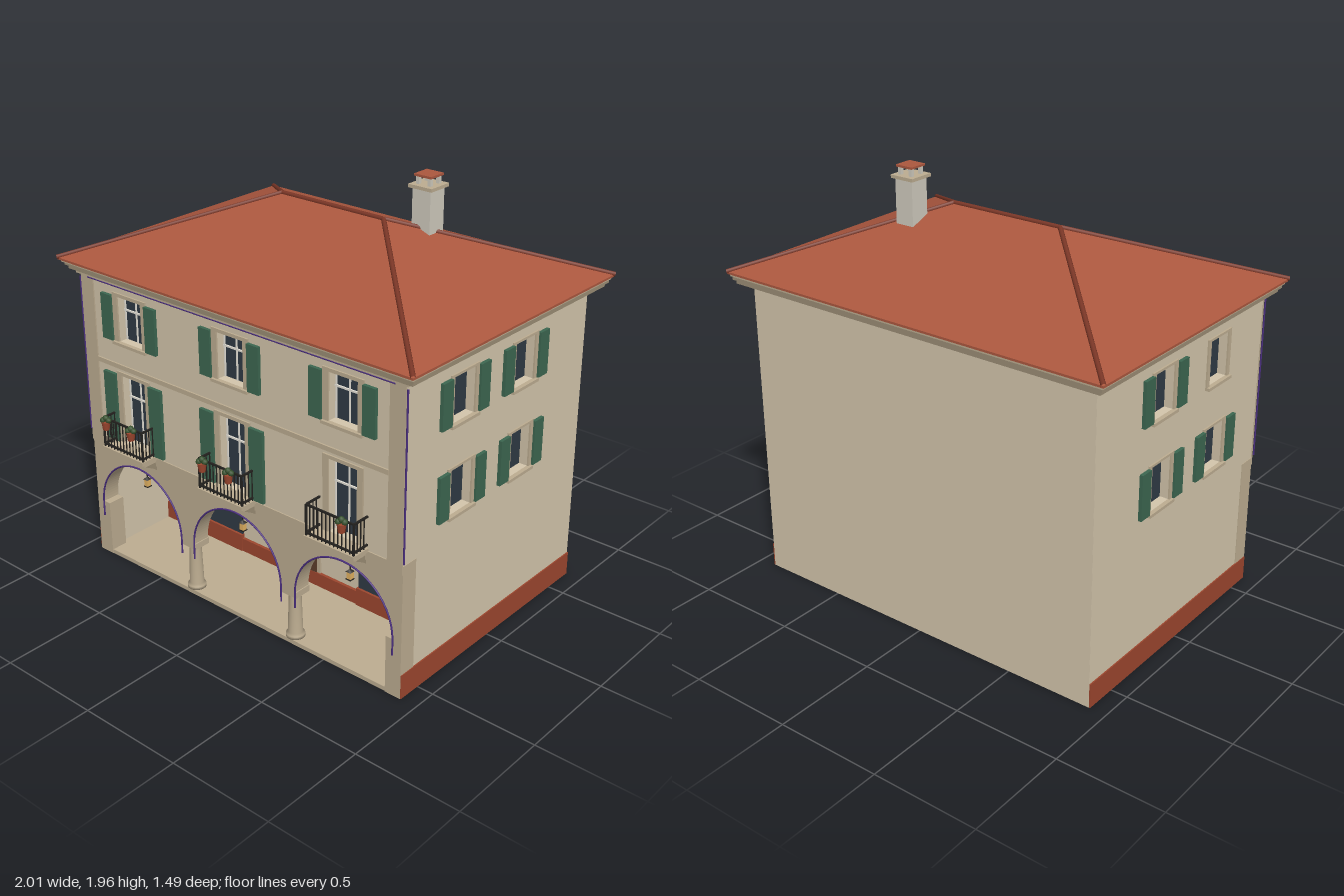
import * as THREE from 'three';
import { ConvexGeometry } from 'three/addons/geometries/ConvexGeometry.js';

const mat = (color, side = THREE.FrontSide) => new THREE.MeshStandardMaterial({ color, side });
const M = {
  plaster: mat(0xd3c5ab), stone: mat(0xbcac90), cornice: mat(0x9a8c74), roof: mat(0xab573e),
  ridge: mat(0x7a3626), glass: mat(0x2f3a44), shutter: mat(0x3c6650), door: mat(0x5a3d2a),
  base: mat(0x9c462e), iron: mat(0x24221f), cable: mat(0x4b2f80), trim: mat(0xe4e0d6),
  chimney: mat(0xcfcabd), lamp: mat(0xe0b060), plant: mat(0x35502c),
};
const V = (x, y, z) => new THREE.Vector3(x, y, z);

function add(parent, name, geometry, material, x = 0, y = 0, z = 0) {
  const mesh = new THREE.Mesh(geometry, material);
  mesh.name = name;
  mesh.position.set(x, y, z);
  parent.add(mesh);
  return mesh;
}
// Box given by its limits on each axis
function box(parent, name, material, [x0, x1], [y0, y1], [z0, z1]) {
  return add(parent, name, new THREE.BoxGeometry(x1 - x0, y1 - y0, z1 - z0), material,
    (x0 + x1) / 2, (y0 + y1) / 2, (z0 + z1) / 2);
}
function group(parent, name, x = 0, y = 0, z = 0) {
  const g = new THREE.Group();
  g.name = name;
  g.position.set(x, y, z);
  parent.add(g);
  return g;
}
function rectPath(Type, x0, x1, y0, y1) {
  return new Type([[x0, y0], [x1, y0], [x1, y1], [x0, y1]].map(p => new THREE.Vector2(...p)));
}
const extrude = (shape, depth) =>
  new THREE.ExtrudeGeometry(shape, { depth, bevelEnabled: false, curveSegments: 28 });
function tube(parent, name, points, r, material, segments = 1) {
  const path = new THREE.CurvePath();
  for (let i = 1; i < points.length; i++) path.add(new THREE.LineCurve3(points[i - 1], points[i]));
  return add(parent, name, new THREE.TubeGeometry(path, segments, r, 8), material);
}

// Wall facing +z with its outer face on z = 0, pierced by window openings
function piercedWall(parent, name, limits, openings, depth, material) {
  const shape = rectPath(THREE.Shape, ...limits);
  for (const o of openings) shape.holes.push(rectPath(THREE.Path, o.x - o.w / 2, o.x + o.w / 2, o.y0, o.y1));
  add(parent, name, extrude(shape, depth), material, 0, 0, -depth);
}

function addWindow(parent, { x, w, y0, y1, frame, shutter, bars, sill }) {
  const g = group(parent, 'window', x), h = w / 2;
  box(g, 'glass', M.glass, [-h, h], [y0, y1], [-0.049, -0.04]);
  const ring = rectPath(THREE.Shape, -h - frame, h + frame, y0 - (sill ? 0.006 : 0), y1 + frame * 0.5);
  ring.holes.push(rectPath(THREE.Path, -h, h, y0, y1 - 0.001));
  add(g, 'surround', extrude(ring, 0.008), M.stone);
  if (sill) box(g, 'sill', M.stone, [-h - frame, h + frame], [y0 - 0.014, y0], [0, 0.02]);
  if (bars) {
    const mid = y0 + (y1 - y0) * 0.66;
    for (const bx of [-h + 0.005, 0, h - 0.005])
      box(g, 'mullion', M.trim, [bx - 0.003, bx + 0.003], [y0, y1], [-0.04, -0.034]);
    box(g, 'transom', M.trim, [-h, h], [mid - 0.004, mid + 0.004], [-0.04, -0.033]);
  }
  if (shutter) for (const s of [-1, 1]) {
    const c = s * (h + 0.02 + shutter / 2 + (frame > 0.025 ? 0.01 : 0));
    box(g, 'shutter', M.shutter, [c - shutter / 2, c + shutter / 2], [y0, y1], [0.002, 0.018]);
  }
}

function addSide(model, s) {
  const side = group(model, 'sideWall', s * 0.915);
  side.rotation.y = s * Math.PI / 2;
  const u = z => -s * z;
  const openings = [];
  for (const z of [0.245, -0.18]) for (const [y0, y1] of [[0.735, 0.945], [1.15, 1.355]])
    openings.push({ x: u(z), w: 0.145, y0, y1, frame: 0.02, sill: true,
      shutter: s < 0 && z > 0 && y0 > 1 ? 0 : 0.066 });
  const ends = [u(-0.655), u(0.53)].sort((a, b) => a - b);
  piercedWall(side, 'wall', [...ends, 0, 1.45], openings, 0.05, M.plaster);
  openings.forEach(o => addWindow(side, o));
  const band = [u(-0.655), u(0.614)].sort((a, b) => a - b);
  box(side, 'redPlinth', M.base, band, [0, 0.115], [0, 0.006]);
}

function addArcade(model) {
  const R = 0.265, spring = 0.275, xs = [-0.61, 0, 0.61];
  // Ground floor front with three round arches
  const s = new THREE.Shape();
  s.moveTo(-0.918, 0);
  s.lineTo(-0.838, 0);
  s.lineTo(-0.838, spring);
  for (const x of xs) {
    s.lineTo(x - R, spring);
    s.absarc(x, spring, R, Math.PI, 0, true);
  }
  [[0.838, spring], [0.838, 0], [0.918, 0], [0.918, 0.635], [-0.918, 0.635]].forEach(p => s.lineTo(...p));
  add(model, 'arcade', extrude(s, 0.085), M.stone, 0, 0, 0.53);
  // Light cable around each arch
  for (const x of xs) {
    const pts = [V(x - R, 0.2, 0.618)];
    for (let i = 0; i <= 24; i++) {
      const a = Math.PI * (1 - i / 24);
      pts.push(V(x + R * Math.cos(a), spring + R * Math.sin(a), 0.618));
    }
    pts.push(V(x + R, 0.2, 0.618));
    tube(model, 'archCable', pts, 0.004, M.cable, 60);
  }
  // Columns
  const profile = [[0, 0.02], [0.043, 0.02], [0.043, 0.035], [0.034, 0.045], [0.028, 0.235], [0.037, 0.245], [0, 0.245]];
  for (const x of [-0.305, 0.305]) {
    add(model, 'column', new THREE.LatheGeometry(profile.map(p => new THREE.Vector2(...p)), 20), M.stone, x, 0, 0.572);
    box(model, 'capital', M.stone, [x - 0.045, x + 0.045], [0.245, spring], [0.53, 0.615]);
  }
  // Portico interior
  box(model, 'porticoFloor', M.stone, [-0.9, 0.9], [0, 0.02], [0.18, 0.612]);
  box(model, 'upperFloor', M.plaster, [-0.87, 0.87], [0.575, 0.6], [-0.62, 0.535]);
  box(model, 'porticoWall', M.plaster, [-0.87, 0.87], [0, 0.58], [0.17, 0.2]);
  box(model, 'porticoPlinth', M.base, [-0.868, 0.868], [0.02, 0.088], [0.2, 0.215]);
  for (const x of [-0.61, 0.61]) {
    box(model, 'shopWindow', M.glass, [x - 0.25, x + 0.25], [0.105, 0.48], [0.162, 0.208]);
    box(model, 'shopSill', M.base, [x - 0.255, x + 0.255], [0.02, 0.108], [0.2, 0.22]);
    box(model, 'shopMullion', M.iron, [x - 0.003, x + 0.003], [0.108, 0.48], [0.208, 0.213]);
    box(model, 'shopTransom', M.iron, [x - 0.25, x + 0.25], [0.39, 0.395], [0.208, 0.213]);
  }
  box(model, 'doorSurround', M.stone, [-0.132, 0.132], [0.088, 0.447], [0.2, 0.208]);
  box(model, 'door', M.door, [-0.113, 0.113], [0.088, 0.43], [0.162, 0.213]);
  box(model, 'doorCanopy', M.iron, [-0.085, 0.085], [0.472, 0.48], [0.2, 0.23]);
  // Hanging lanterns
  for (const x of xs) {
    const g = group(model, 'lantern', x, 0, 0.57);
    add(g, 'rod', new THREE.CylinderGeometry(0.003, 0.003, 0.07, 6), M.iron, 0, 0.51, 0);
    box(g, 'lamp', M.lamp, [-0.011, 0.011], [0.435, 0.468], [-0.011, 0.011]);
    add(g, 'lanternCap', new THREE.ConeGeometry(0.02, 0.014, 4, 1, false, Math.PI / 4), M.iron, 0, 0.475, 0);
    box(g, 'lanternFoot', M.iron, [-0.013, 0.013], [0.43, 0.435], [-0.013, 0.013]);
  }
}

function addBalcony(model, x, pots) {
  const g = group(model, 'balcony', x, 0, 0.615), W = 0.125, D = 0.085;
  box(g, 'slab', M.stone, [-0.132, 0.132], [0.634, 0.652], [0, 0.095]);
  box(g, 'slabMoulding', M.stone, [-0.122, 0.122], [0.618, 0.634], [0, 0.075]);
  const bracket = new THREE.Shape([[0, 0.575], [0.02, 0.59], [0.07, 0.618], [0, 0.618]].map(p => new THREE.Vector2(...p)));
  for (const s of [-1, 1]) {
    const b = add(g, 'bracket', extrude(bracket, 0.02), M.cornice, s * 0.11 - 0.01, 0, 0);
    b.rotation.y = -Math.PI / 2;
    b.position.x += 0.02;
    for (const y of [0.665, 0.795])
      box(g, 'sideRail', M.iron, [s * W - 0.004, s * W + 0.004], [y - 0.004, y + 0.004], [0, D]);
    for (let i = 1; i < 4; i++)
      box(g, 'sideBar', M.iron, [s * W - 0.002, s * W + 0.002], [0.652, 0.795], [i * D / 4 - 0.002, i * D / 4 + 0.002]);
  }
  for (const y of [0.665, 0.795]) box(g, 'frontRail', M.iron, [-W, W], [y - 0.004, y + 0.004], [D - 0.004, D + 0.004]);
  for (let i = 0; i <= 12; i++) {
    const bx = -W + i * W / 6, r = i % 12 ? 0.002 : 0.004;
    box(g, 'bar', M.iron, [bx - r, bx + r], [0.652, 0.795], [D - r, D + r]);
  }
  // Flower pots hung on the rail
  for (const px of pots) {
    add(g, 'pot', new THREE.CylinderGeometry(0.021, 0.015, 0.04, 12), M.base, px, 0.775, D + 0.022);
    for (const [dx, dy, dz] of [[0, 0.012, 0], [-0.012, 0, 0.006], [0.013, 0.002, -0.004]])
      add(g, 'plant', new THREE.IcosahedronGeometry(0.014, 1), M.plant, px + dx, 0.8 + dy, D + 0.022 + dz);
  }
}

function addRoof(model) {
  const X = 0.995, zf = 0.685, zb = -0.735, zr = -0.025, rx = 0.285, top = 1.772, eave = 1.498;
  const corners = [V(-X, eave, zf), V(X, eave, zf), V(X, eave, zb), V(-X, eave, zb)];
  const ends = [V(-rx, top, zr), V(rx, top, zr)];
  add(model, 'roof', new ConvexGeometry([...corners, ...corners.map(c => V(c.x, eave - 0.01, c.z)), ...ends]), M.roof);
  // Ridge and hip tiles
  tube(model, 'ridgeTiles', ends, 0.011, M.ridge);
  corners.forEach(c => tube(model, 'hipTiles', [c, ends[c.x < 0 ? 0 : 1]], 0.011, M.ridge));
  // Stepped cornice: half width, front z, back z, bottom, top
  for (const [w, f, b, y0, y1, m] of [
    [0.935, 0.632, -0.67, 1.425, 1.442, M.stone], [0.965, 0.648, -0.71, 1.442, 1.46, M.cornice],
    [0.978, 0.66, -0.72, 1.46, 1.476, M.cornice], [0.985, 0.672, -0.725, 1.476, 1.49, M.stone]])
    box(model, 'cornice', m, [-w, w], [y0, y1], [b, f]);
  // Chimney with open cap
  const c = group(model, 'chimney', 0.402, 0, -0.175);
  box(c, 'stack', M.chimney, [-0.047, 0.047], [1.6, 1.9], [-0.048, 0.048]);
  box(c, 'collar', M.stone, [-0.061, 0.061], [1.9, 1.915], [-0.061, 0.061]);
  for (const sx of [-1, 1]) for (const sz of [-1, 1])
    add(c, 'capPost', new THREE.BoxGeometry(0.016, 0.035, 0.016), M.chimney, sx * 0.03, 1.932, sz * 0.03);
  box(c, 'cap', M.roof, [-0.044, 0.044], [1.949, 1.959], [-0.044, 0.044]);
}

export function createModel() {
  const model = new THREE.Group();
  model.name = 'house';
  addArcade(model);
  [-1, 1].forEach(s => addSide(model, s));
  box(model, 'backWall', M.plaster, [-0.914, 0.914], [0, 1.45], [-0.656, -0.606]);

  // Upper front with tall balcony windows and smaller ones above
  const front = group(model, 'upperFront', 0, 0, 0.615);
  const openings = [];
  for (const x of [-0.61, 0, 0.61]) {
    openings.push({ x, w: 0.15, y0: 0.652, y1: 0.99, frame: 0.03, bars: true, shutter: x > 0 ? 0 : 0.078 });
    openings.push({ x, w: 0.15, y0: 1.155, y1: 1.37, frame: 0.03, bars: true, sill: true, shutter: 0.065 });
  }
  piercedWall(front, 'wall', [-0.915, 0.915, 0.635, 1.45], openings, 0.085, M.plaster);
  openings.forEach(o => addWindow(front, o));
  box(front, 'stringCourse', M.stone, [-0.918, 0.918], [0.597, 0.64], [0, 0.006]);
  box(front, 'stringCourse', M.stone, [-0.84, 0.84], [1.02, 1.042], [0, 0.008]);
  for (const s of [-1, 1]) {
    add(front, 'cornerStrip', new THREE.BoxGeometry(0.078, 0.79, 0.006), M.stone, s * 0.879, 1.033, 0.003);
    tube(front, 'cornerCable', [V(s * 0.924, 0.65, 0.004), V(s * 0.924, 1.41, 0.004)], 0.004, M.cable);
  }
  tube(front, 'eavesCable', [V(-0.87, 1.418, 0.008), V(0.87, 1.418, 0.008)], 0.004, M.cable);

  addBalcony(model, -0.61, [-0.085, 0.08]);
  addBalcony(model, 0, [-0.085, 0.07]);
  addBalcony(model, 0.61, [0.08]);
  addRoof(model);
  return model;
}
